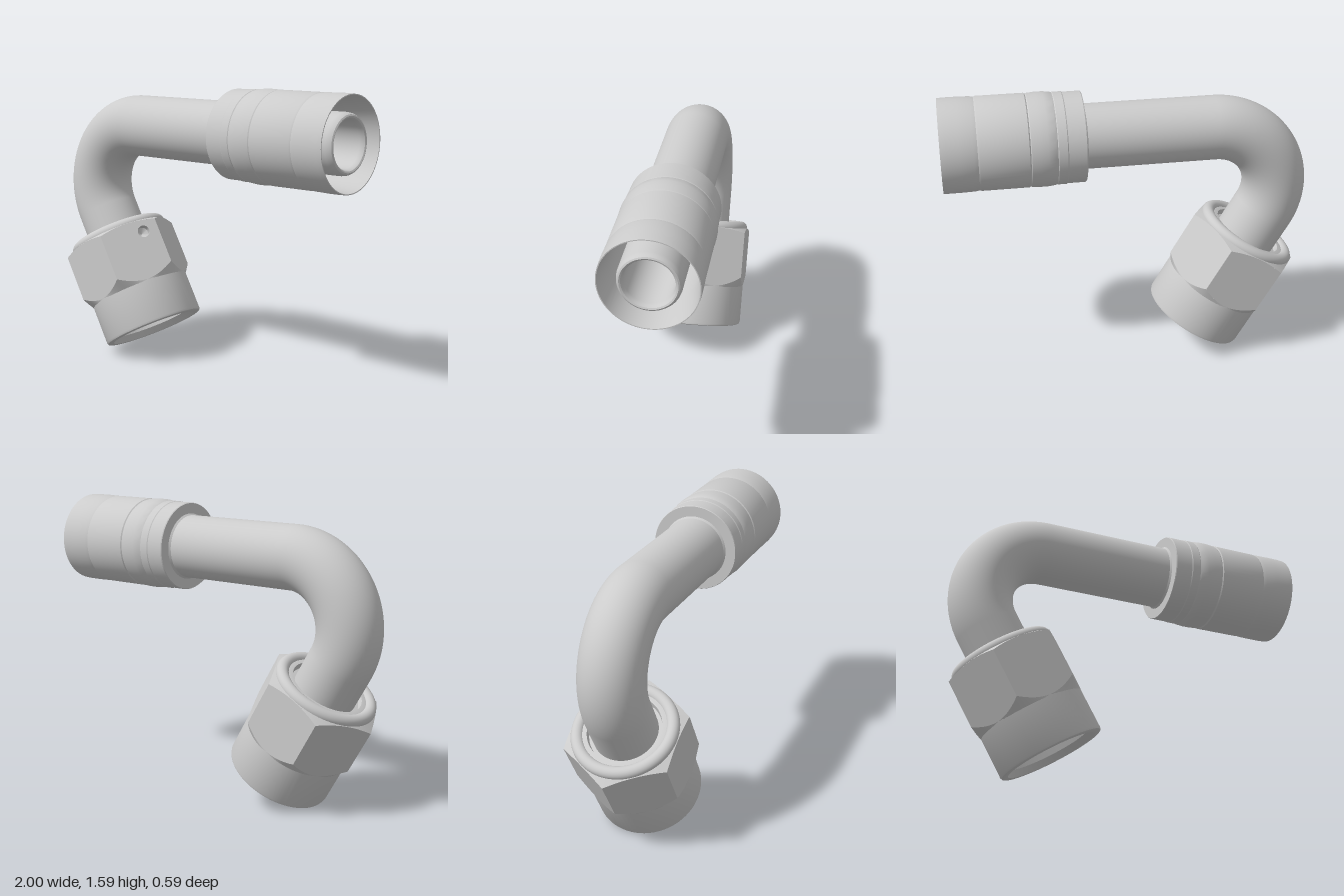
import * as THREE from 'three';
import { toCreasedNormals } from 'three/addons/utils/BufferGeometryUtils.js';
import { ParametricGeometry } from 'three/addons/geometries/ParametricGeometry.js';

const material = new THREE.MeshStandardMaterial({ color: 0xcccccc, side: THREE.DoubleSide });
const AXIS_Y = 1.337, BEND = 0.35, BEND_X = -0.475, TUBE_R = 0.175, BORE_R = 0.125;
const LEG = 0.774;                       // bend end to nut mouth
const FLAT = 0.293, HALF = FLAT * Math.tan(Math.PI / 6);

function add(parent, name, geometry) {
  const mesh = new THREE.Mesh(geometry, material);
  mesh.name = name;
  parent.add(mesh);
  return mesh;
}

// Turned part with crisp edges; profile is [radius, height] pairs
function turned(profile, segments = 72) {
  const points = profile.map(([r, h]) => new THREE.Vector2(r, h));
  return toCreasedNormals(new THREE.LatheGeometry(points, segments), 0.45);
}

// Radius of the hexagon at an angle, corners on +x and -x
function hexRadius(angle) {
  const third = Math.PI / 3;
  const a = ((angle % third) + third) % third;
  return FLAT / Math.cos(a - third / 2);
}

// Heights at which the conical chamfers cut a given radius
const chamferLow = (r) => 0.245 + (r - FLAT) * 1.2;
const chamferHigh = (r) => 0.59 - (r - FLAT) * 0.5;

// Chamfer running between a circle and the trimmed hexagon
function chamfer(radius, height, cut) {
  const geometry = new ParametricGeometry((u, v, p) => {
    const angle = -u * Math.PI * 2;
    const hex = hexRadius(angle);
    const r = THREE.MathUtils.lerp(radius, hex, v);
    p.set(r * Math.cos(angle), THREE.MathUtils.lerp(height, cut(hex), v), r * Math.sin(angle));
  }, 96, 1);
  return toCreasedNormals(geometry, 0.5);
}

// One flat of the nut, with curved ends and an optional drilled hole
function hexFlat(angle, hole) {
  const shape = new THREE.Shape();
  const n = 16, low = [], high = [];
  for (let i = 0; i <= n; i++) {
    const w = -HALF + (2 * HALF * i) / n;
    const r = Math.hypot(FLAT, w);
    low.push(new THREE.Vector2(w, chamferLow(r)));
    high.unshift(new THREE.Vector2(w, chamferHigh(r)));
  }
  shape.setFromPoints([...low, ...high]);
  if (hole) shape.holes.push(new THREE.Path().absarc(hole.x, hole.y, hole.r, 0, Math.PI * 2, true));
  const geometry = new THREE.ShapeGeometry(shape, 16);
  geometry.translate(0, 0, FLAT);
  geometry.rotateY(Math.PI / 2 - angle);
  return geometry;
}

function bentTube() {
  const tube = new THREE.Group();
  tube.name = 'bentTube';
  for (const [label, r] of [['tubeOuter', TUBE_R], ['tubeBore', BORE_R]]) {
    // Straight run
    const run = new THREE.CylinderGeometry(r, r, 0.3 - BEND_X, 64, 1, true);
    run.rotateZ(Math.PI / 2);
    run.translate((0.3 + BEND_X) / 2, AXIS_Y, 0);
    add(tube, label + 'Run', run);
    // 120 degree bend
    const bend = new THREE.TorusGeometry(BEND, r, 64, 64, Math.PI * 2 / 3);
    bend.rotateZ(Math.PI / 2);
    bend.translate(BEND_X, AXIS_Y - BEND, 0);
    add(tube, label + 'Bend', bend);
    // Short leg into the nut
    const length = LEG - 0.36;
    const leg = new THREE.CylinderGeometry(r, r, length, 64, 1, true);
    leg.translate(0, -length / 2, 0);
    leg.rotateZ(Math.PI / 6);
    leg.translate(BEND_X - BEND * Math.cos(Math.PI / 6), AXIS_Y - BEND * 1.5, 0);
    add(tube, label + 'Leg', leg);
  }
  return tube;
}

function swivelNut() {
  const nut = new THREE.Group();
  nut.name = 'swivelNut';
  // Round skirt, mouth and bore with the sealing seat inside
  add(nut, 'nutSkirtAndBore', turned([
    [BORE_R, 0.36], [0.15, 0.34], [0.185, 0.38], [0.2, 0.38], [0.2, 0.35], [0.225, 0.35],
    [0.225, 0.035], [0.255, 0], [0.28, 0], [0.289, 0.004], [FLAT, 0.015], [FLAT, 0.245],
  ]));
  add(nut, 'lowerChamfer', chamfer(FLAT - 0.001, 0.236, chamferLow));
  add(nut, 'upperChamfer', chamfer(0.27, 0.6, chamferHigh));
  // Six flats, one drilled
  const hole = { x: 0.08, y: 0.515, r: 0.035 };
  for (let i = 0; i < 6; i++) {
    add(nut, 'hexFlat', hexFlat((i + 0.5) * Math.PI / 3, i === 0 ? hole : null));
  }
  const drill = turned([[0, -0.07], [hole.r, -0.05], [hole.r, 0]], 24);
  drill.rotateX(Math.PI / 2);
  drill.translate(hole.x, hole.y, FLAT);
  drill.rotateY(Math.PI / 3);
  add(nut, 'drilledHole', drill);
  // Rounded retaining ring and the recessed shoulder around the tube
  const ring = new THREE.TorusGeometry(0.255, 0.035, 24, 72);
  ring.rotateX(Math.PI / 2);
  ring.translate(0, 0.595, 0);
  add(nut, 'retainingRing', ring);
  add(nut, 'nutShoulder', turned([[0.27, 0.6], [0.225, 0.612], [0.2, 0.612], [0.195, 0.58], [TUBE_R, 0.58]]));

  nut.rotation.z = Math.PI / 6;
  nut.position.set(
    BEND_X - BEND * Math.cos(Math.PI / 6) + LEG * 0.5,
    AXIS_Y - BEND * 1.5 - LEG * Math.cos(Math.PI / 6), 0);
  return nut;
}

function hoseEnd() {
  const end = new THREE.Group();
  end.name = 'hoseEnd';
  // Crimp shell: back face, grooved outside, thin lip, inside wall and floor
  add(end, 'crimpShell', turned([
    [TUBE_R, 0.235], [0.184, 0.245], [0.241, 0.245], [0.244, 0.25], [0.244, 0.345], [0.247, 0.35],
    [0.247, 0.396], [0.244, 0.4], [0.249, 0.41], [0.253, 0.45], [0.253, 0.49], [0.249, 0.535],
    [0.246, 0.54], [0.251, 0.546], [0.251, 0.8], [0.247, 0.81], [0.251, 0.83], [0.253, 0.9],
    [0.253, 0.97], [0.251, 1], [0.246, 1], [0.225, 0.82], [0.225, 0.46], [0.15, 0.46],
  ]));
  // Hose nipple with a rounded tip
  add(end, 'hoseNipple', turned([
    [0.16, 0.28], [0.16, 0.955], [0.157, 0.975], [0.15, 0.988], [0.142, 0.992],
    [0.134, 0.988], [0.128, 0.978], [BORE_R, 0.96], [BORE_R, 0.28],
  ]));
  end.rotation.z = -Math.PI / 2;
  end.position.y = AXIS_Y;
  return end;
}

export function createModel() {
  const model = new THREE.Group();
  model.name = 'elbowHoseFitting';
  model.add(bentTube(), swivelNut(), hoseEnd());
  return model;
}
